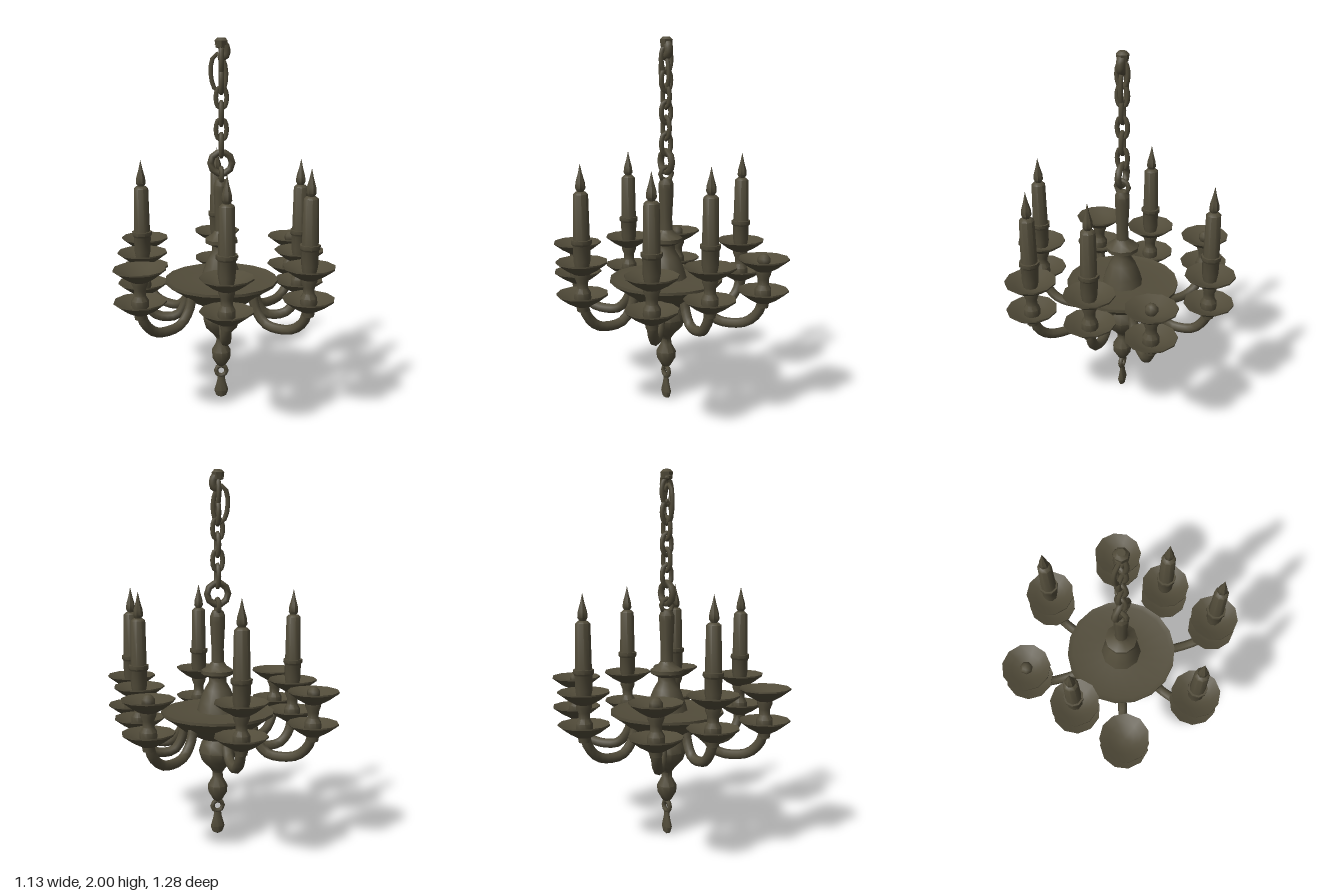
import * as THREE from 'three';
import { toCreasedNormals } from 'three/addons/utils/BufferGeometryUtils.js';

export function createModel() {
  const model = new THREE.Group();
  model.name = 'chandelier';
  const bronze = new THREE.MeshStandardMaterial({ color: 0x524c3a });
  bronze.name = 'dark bronze';

  const add = (parent, name, geometry, x = 0, y = 0, z = 0) => {
    const mesh = new THREE.Mesh(geometry, bronze);
    mesh.name = name;
    mesh.position.set(x, y, z);
    parent.add(mesh);
    return mesh;
  };
  // Turned part from [radius, height] pairs, listed bottom to top
  const turned = (points, sides) => toCreasedNormals(
    new THREE.LatheGeometry(points.map(([r, y]) => new THREE.Vector2(r, y)), sides), 0.8);
  const tube = (points, radius, segments, sides = 7) => new THREE.TubeGeometry(
    new THREE.CatmullRomCurve3(points.map(p => new THREE.Vector3(...p))), segments, radius, sides);

  // Central body: hanging baluster, broad plate, bell and column
  add(model, 'lowerBaluster', turned([
    [0, 0.185], [0.025, 0.2], [0.052, 0.245], [0.055, 0.285], [0.03, 0.33], [0.028, 0.36],
    [0.045, 0.385], [0.09, 0.43], [0.105, 0.48], [0.09, 0.53], [0.06, 0.57], [0.06, 0.6],
  ], 10));
  add(model, 'centralPlate', turned([
    [0, 0.555], [0.1, 0.56], [0.18, 0.60], [0.25, 0.655], [0.31, 0.695],
    [0.31, 0.71], [0.28, 0.7], [0.11, 0.71], [0, 0.71],
  ], 18));
  add(model, 'bell', turned([
    [0.115, 0.705], [0.1, 0.76], [0.072, 0.83], [0.048, 0.87], [0.048, 0.895],
    [0.09, 0.915], [0.09, 0.935], [0.05, 0.96], [0.036, 0.98],
  ], 10));
  add(model, 'column', turned([
    [0.036, 0.96], [0.034, 1.05], [0.042, 1.2], [0.042, 1.23], [0.03, 1.26], [0, 1.265],
  ], 8));

  // Bottom finial: flat ring and drop
  add(model, 'finialRing', new THREE.TorusGeometry(0.03, 0.013, 6, 8), 0, 0.163, 0);
  add(model, 'finialDrop', turned([
    [0, 0], [0.028, 0.012], [0.04, 0.045], [0.024, 0.1], [0.02, 0.13], [0, 0.14],
  ], 8)).scale.z = 0.55;

  // Suspension eye, ring and alternating chain links
  add(model, 'columnEye', new THREE.TorusGeometry(0.036, 0.014, 6, 8), 0, 1.285, 0).rotation.y = Math.PI / 2;
  add(model, 'hangingRing', new THREE.TorusGeometry(0.058, 0.018, 6, 10), 0, 1.35, 0);
  const link = (y, halfHeight, halfWidth, turn, x = 0) => {
    const points = [];
    for (let i = 0; i < 10; i++) {
      const a = i / 10 * Math.PI * 2;
      points.push(new THREE.Vector3(Math.cos(a) * halfWidth, Math.sin(a) * halfHeight, 0));
    }
    const path = new THREE.CatmullRomCurve3(points, true);
    const mesh = add(model, 'chainLink', new THREE.TubeGeometry(path, 12, 0.013, 6, true), x, y, 0);
    mesh.rotation.y = turn;
    return mesh;
  };
  for (let i = 0; i < 5; i++) link(1.445 + i * 0.083, 0.06, 0.029, i % 2 ? 0.15 : Math.PI / 2);
  link(1.82, 0.1, 0.04, 0, -0.015).rotation.z = 0.06;
  link(1.885, 0.07, 0.03, Math.PI / 2);
  add(model, 'topHook', tube([
    [-0.02, 1.9, 0], [0.02, 1.91, 0], [0.022, 1.95, 0], [0, 1.972, 0], [-0.015, 1.95, 0],
  ], 0.024, 10));
  add(model, 'topCap', turned([[0, 1.94], [0.03, 1.95], [0.035, 1.985], [0.02, 2], [0, 2]], 7));

  // Shared arm fittings
  const dish = turned([
    [0, -0.075], [0.04, -0.07], [0.085, -0.045], [0.135, -0.008],
    [0.135, 0], [0.085, -0.022], [0.05, -0.035], [0, -0.038],
  ], 11);
  const stem = turned([
    [0.03, 0.6], [0.038, 0.645], [0.045, 0.67], [0.044, 0.7], [0.03, 0.725],
    [0.03, 0.755], [0.042, 0.785], [0.042, 0.81],
  ], 9);
  const cup = turned([
    [0.034, 0.82], [0.044, 0.87], [0.046, 0.95], [0.054, 0.96], [0.054, 0.98], [0.038, 0.98],
  ], 9);
  const candle = turned([[0.044, 0.96], [0.039, 1.215], [0.025, 1.228], [0, 1.23]], 9);
  const flame = turned([[0.012, 1.22], [0.027, 1.245], [0.024, 1.275], [0.011, 1.32], [0, 1.37]], 7);
  const stub = new THREE.SphereGeometry(0.036, 7, 5);

  // Eight arms: [x, z, what the upper dish holds]
  const arms = [
    [0.43, 0, 'candle'], [-0.43, 0, 'candle'], [0, 0.505, 'candle'], [0, -0.505, 'candle'],
    [0.43, 0.338, 'candle'], [-0.43, 0.335, 'empty'], [0.43, -0.338, 'stub'], [-0.43, -0.338, 'stub'],
  ];
  for (const [x, z, holds] of arms) {
    const arm = new THREE.Group();
    arm.name = 'arm';
    arm.rotation.y = Math.atan2(-z, x);
    model.add(arm);
    const r = Math.hypot(x, z);
    const inner = 0.18 + (r - 0.43) * 0.2;
    const at = t => inner + (r - inner) * t;
    add(arm, 'curvedArm', tube([
      [at(0), 0.66, 0], [at(0.08), 0.57, 0], [at(0.25), 0.505, 0], [at(0.5), 0.492, 0],
      [at(0.75), 0.51, 0], [at(0.93), 0.57, 0], [r, 0.65, 0],
    ], 0.027, 14));
    add(arm, 'lowerDish', dish, r, 0.698, 0);
    add(arm, 'upperDish', dish, r, 0.868, 0);
    add(arm, 'stem', stem, r, 0, 0);
    if (holds === 'candle') {
      add(arm, 'candleCup', cup, r, 0, 0);
      add(arm, 'candle', candle, r, 0, 0);
      add(arm, 'flame', flame, r, 0, 0);
    } else if (holds === 'stub') {
      add(arm, 'candleStub', stub, r, 0.855, 0);
    }
  }
  return model;
}
